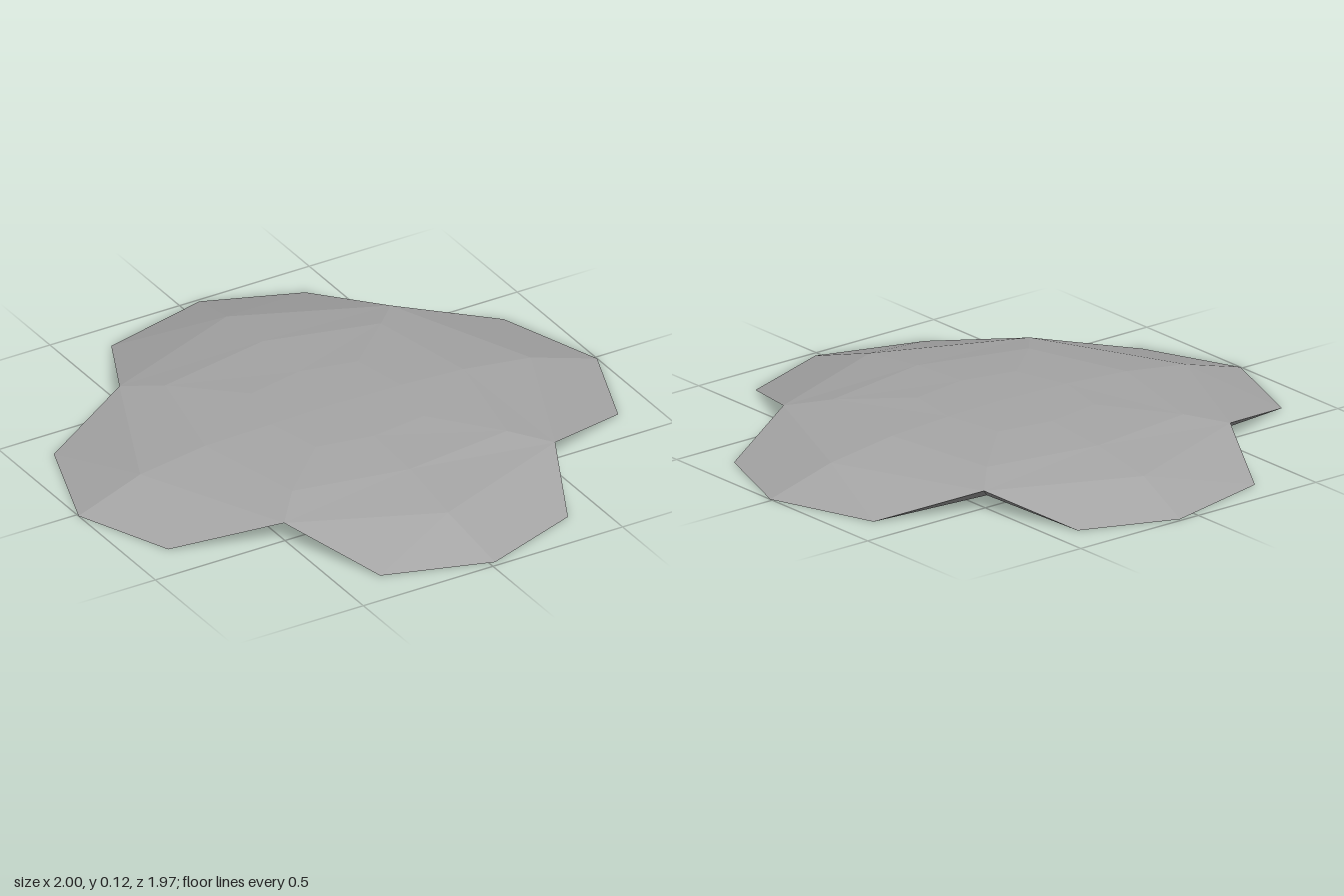
import * as THREE from 'three';

// Rings run from +x towards +z. Even entries lie on the axes, odd ones on the diagonals.
const inner = [[0.25, 0], [0.21, 0.21], [0, 0.24], [-0.2, 0.2], [-0.25, 0], [-0.2, -0.21], [0.01, -0.25], [0.21, -0.21]];
const middle = [[0.49, 0], [0.41, 0.41], [0, 0.47], [-0.4, 0.38], [-0.5, -0.01], [-0.4, -0.43], [0.02, -0.5], [0.42, -0.41]];
const outer = [[0.75, 0], [0.53, 0.52], [-0.01, 0.73], [-0.51, 0.51], [-0.75, -0.01], [-0.51, -0.54], [0.03, -0.75], [0.53, -0.53]];
// Ground edge: three points for each lobe
const lobes = [
  [[0.87, -0.37], [1, 0.01], [0.87, 0.36]],
  [[0.38, 0.85], [0.02, 0.98], [-0.35, 0.86]],
  [[-0.86, 0.35], [-1, 0.01], [-0.86, -0.38]],
  [[-0.33, -0.89], [0.07, -0.99], [0.4, -0.86]],
];
const raise = (ring, yAxis, yDiagonal) => ring.map(([x, z], i) => [x, i % 2 ? yDiagonal : yAxis, z]);

function facetedMesh(name, triangles, material) {
  const geometry = new THREE.BufferGeometry();
  geometry.setAttribute('position', new THREE.Float32BufferAttribute(triangles.flat(2), 3));
  geometry.computeVertexNormals();
  const mesh = new THREE.Mesh(geometry, material);
  mesh.name = name;
  return mesh;
}

export function createModel() {
  const group = new THREE.Group();
  group.name = 'lobedMound';
  const stone = new THREE.MeshStandardMaterial({ color: 0xa6a6a6, flatShading: true });
  stone.name = 'grey stone';

  const peak = [0, 0.125, 0];
  const a = raise(inner, 0.12, 0.118);
  const b = raise(middle, 0.108, 0.1);
  const c = raise(outer, 0.074, 0.075);
  const edge = lobes.map((lobe) => lobe.map(([x, z]) => [x, 0, z]));
  const crown = [], skirts = [], notches = [], base = [];

  // Domed crown, ring by ring
  for (let i = 0; i < 8; i++) {
    const j = (i + 1) % 8;
    crown.push([peak, a[j], a[i]]);
    for (const [p, q] of [[a, b], [b, c]]) {
      // Keep the split of each quad symmetrical about the axes
      if (i % 2) crown.push([p[i], p[j], q[i]], [p[j], q[j], q[i]]);
      else crown.push([p[i], p[j], q[j]], [p[i], q[j], q[i]]);
    }
  }

  // Sloping lobes, undercut notches between them and flat base
  for (let k = 0; k < 4; k++) {
    const [first, tip, last] = edge[k];
    const next = edge[(k + 1) % 4][0];
    const mid = c[2 * k];
    const before = c[(2 * k + 7) % 8];
    const after = c[2 * k + 1];
    skirts.push([before, mid, first], [mid, tip, first], [mid, last, tip], [mid, after, last]);

    const root = [middle[2 * k + 1][0], 0, middle[2 * k + 1][1]];
    notches.push([last, after, root], [root, after, next]);

    const previous = (2 * k + 7) % 8;
    const rootBefore = [middle[previous][0], 0, middle[previous][1]];
    const loop = [rootBefore, first, tip, last, root];
    for (let i = 0; i < 4; i++) base.push([[0, 0, 0], loop[i], loop[i + 1]]);
  }

  group.add(
    facetedMesh('crown', crown, stone),
    facetedMesh('lobeSlopes', skirts, stone),
    facetedMesh('notches', notches, stone),
    facetedMesh('base', base, stone),
  );
  return group;
}
